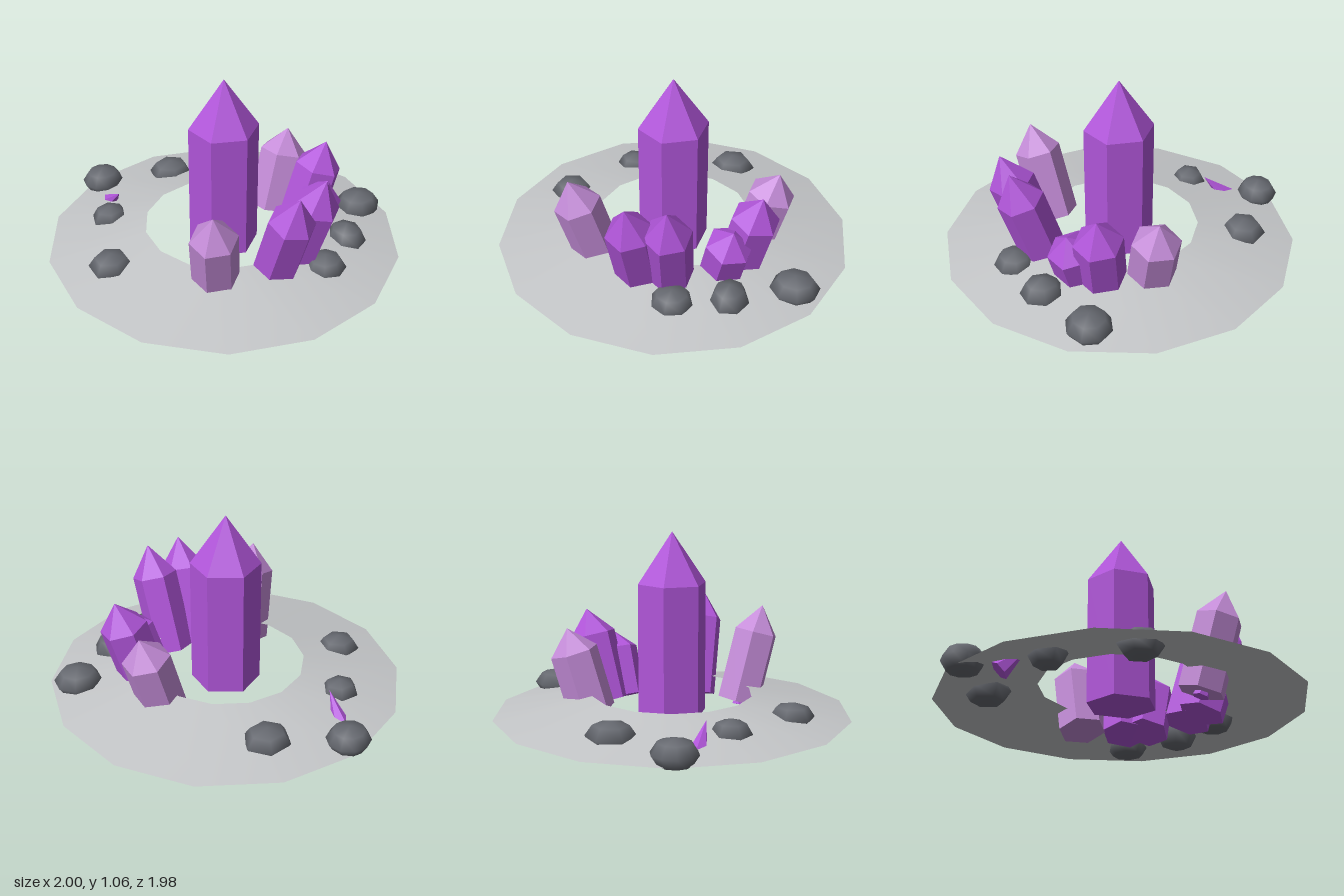
import * as THREE from 'three';

const material = (name, color) => {
  const m = new THREE.MeshStandardMaterial({ color });
  m.name = name;
  return m;
};
const UP = new THREE.Vector3(0, 1, 0);

export function createModel() {
  const group = new THREE.Group();
  const purple = material('purple crystal', 0xb055d9);
  const pale = material('pale crystal', 0xc48cd8);
  const stone = material('dark stone', 0x666970);
  const ground = material('grey ground', 0xc4c6c8);
  ground.side = THREE.DoubleSide;

  const add = (name, geometry, mat) => {
    const mesh = new THREE.Mesh(geometry, mat);
    mesh.name = name;
    group.add(mesh);
    return mesh;
  };

  // Six-sided faceted crystal running from base to tip; point is the share taken by the tip
  const crystal = (name, mat, base, tip, radius, point = 0.28) => {
    const from = new THREE.Vector3(...base);
    const axis = new THREE.Vector3(...tip).sub(from);
    const h = axis.length();
    const profile = [[0, 0], [radius, 0]];
    if (point < 1) profile.push([radius, h * (1 - point)]);
    profile.push([0, h]);
    const geo = new THREE.LatheGeometry(profile.map((p) => new THREE.Vector2(...p)), 6).toNonIndexed();
    geo.computeVertexNormals();
    const mesh = add(name, geo, mat);
    mesh.position.copy(from);
    mesh.quaternion.setFromUnitVectors(UP, axis.normalize());
  };

  // Sloping ground ring, an open sheet
  const ring = add('groundRing', new THREE.LatheGeometry(
    [new THREE.Vector2(1, 0.065), new THREE.Vector2(0.45, 0.172)], 14, Math.PI / 2), ground);
  ring.position.z = 0.01;

  // Upright central crystal and the leaning ones around it
  crystal('mainCrystal', purple, [0, 0.06, 0.01], [0, 1.075, 0.01], 0.195);
  crystal('frontCrystal', purple, [-0.03, 0.06, 0.46], [-0.04, 0.66, 0.66], 0.13);
  crystal('frontLeftCrystal', purple, [0.13, 0.06, 0.44], [0.175, 0.67, 0.63], 0.13);
  crystal('leftCrystal', purple, [0.43, 0.06, 0.18], [0.57, 0.585, 0.235], 0.135);
  crystal('shortCrystal', purple, [0.36, 0.06, 0.28], [0.455, 0.435, 0.375], 0.13);
  crystal('paleRightCrystal', pale, [-0.325, 0.06, 0.335], [-0.44, 0.61, 0.45], 0.13);
  crystal('paleLeftCrystal', pale, [0.445, 0.06, -0.075], [0.58, 0.53, -0.09], 0.135);

  // Small shards
  crystal('backShard', purple, [-0.3, 0.055, -0.72], [-0.315, 0.197, -0.575], 0.055, 1);
  crystal('buriedShard', purple, [-0.33, 0.035, 0.33], [-0.35, 0.2, 0.38], 0.045, 1);

  // Flattened rocks: centre x, y, z, radii x, y, z, sides, turn
  const rocks = [
    [-0.225, 0.115, -0.885, 0.123, 0.08, 0.115, 10, 0],
    [0.15, 0.115, -0.685, 0.135, 0.08, 0.125, 6, 0.2],
    [-0.43, 0.115, -0.51, 0.11, 0.08, 0.1, 6, 0.1],
    [-0.69, 0.113, -0.125, 0.125, 0.078, 0.118, 6, 0.35],
    [0.785, 0.113, 0.315, 0.137, 0.082, 0.127, 8, 0.3],
    [0.48, 0.11, 0.515, 0.108, 0.1, 0.12, 7, 0.5],
    [0.2, 0.115, 0.63, 0.12, 0.077, 0.115, 8, 0],
  ];
  rocks.forEach(([x, y, z, rx, ry, rz, sides, turn], i) => {
    const geo = new THREE.SphereGeometry(1, sides, 4).rotateY(turn).scale(rx, ry, rz);
    add(`rock${i + 1}`, geo, stone).position.set(x, y, z);
  });

  return group;
}
